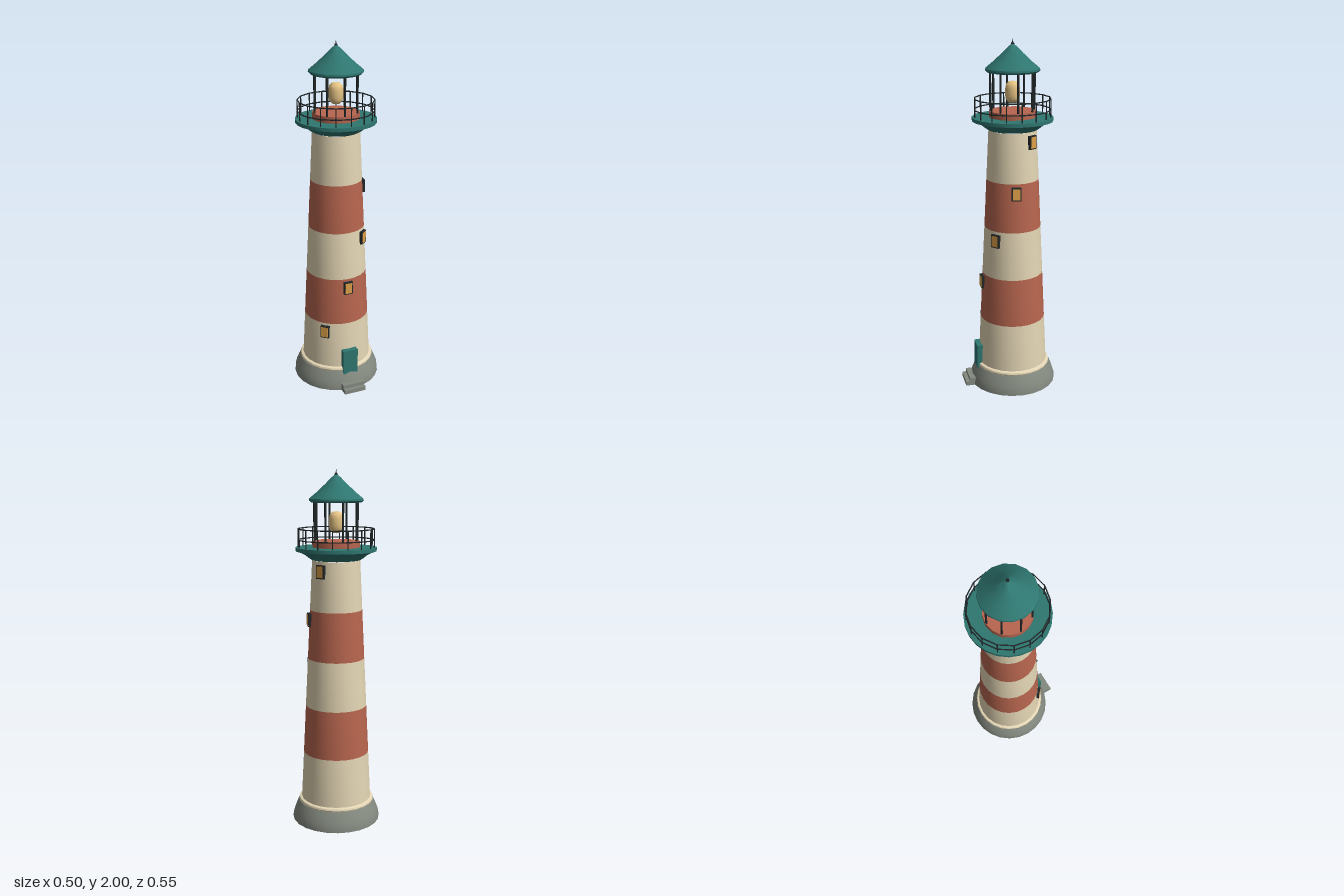
import * as THREE from 'three';
import { toCreasedNormals } from 'three/addons/utils/BufferGeometryUtils.js';

function mat(name, color) {
  const m = new THREE.MeshStandardMaterial({ color });
  m.name = name;
  return m;
}

export function createModel() {
  const stone = mat('grey stone', 0x848a80);
  const cream = mat('cream paint', 0xe4d6b5);
  const red = mat('brick red paint', 0xb8664f);
  const teal = mat('teal paint', 0x2f7670);
  const iron = mat('dark iron', 0x22282a);
  const amber = mat('amber glass', 0xdda048);
  const glow = mat('lamp glass', 0xecc988);

  const model = new THREE.Group();
  model.name = 'lighthouse';
  // everything round shares one axis, set slightly back to make room for the steps
  const tower = new THREE.Group();
  tower.name = 'tower';
  tower.position.z = -0.022;
  model.add(tower);

  function add(parent, name, geometry, material, x = 0, y = 0, z = 0) {
    const mesh = new THREE.Mesh(geometry, material);
    mesh.name = name;
    mesh.position.set(x, y, z);
    parent.add(mesh);
    return mesh;
  }
  function lathe(name, profile, material, sides = 24) {
    const points = profile.map(([r, y]) => new THREE.Vector2(r, y));
    return add(tower, name, toCreasedNormals(new THREE.LatheGeometry(points, sides), 0.6), material);
  }

  // flared footing and the moulding above it
  lathe('footing', [[0, 0], [0.252, 0], [0.25, 0.025], [0.243, 0.05], [0.231, 0.08], [0.217, 0.11], [0, 0.11]], stone);
  lathe('baseMoulding', [[0.19, 0.108], [0.214, 0.108], [0.217, 0.116], [0.214, 0.125], [0.204, 0.13], [0.19, 0.13]], cream);

  // tapering shaft in five bands
  const y0 = 0.13, y1 = 1.51, bands = 5;
  const radiusAt = (y) => THREE.MathUtils.mapLinear(y, y0, y1, 0.2, 0.133);
  for (let i = 0; i < bands; i++) {
    const a = y0 + ((y1 - y0) * i) / bands;
    const b = y0 + ((y1 - y0) * (i + 1)) / bands;
    lathe('shaftBand', [[radiusAt(a), a], [radiusAt(b), b]], i % 2 ? red : cream);
  }

  // windows climbing the shaft in a spiral
  for (let i = 0; i < 5; i++) {
    const y = 0.355 + i * 0.275;
    const pivot = new THREE.Group();
    pivot.name = 'window';
    pivot.rotation.y = THREE.MathUtils.degToRad(-42 + 42 * i);
    tower.add(pivot);
    const r = radiusAt(y);
    add(pivot, 'windowFrame', new THREE.BoxGeometry(0.052, 0.074, 0.026), iron, 0, y, r);
    add(pivot, 'windowPane', new THREE.BoxGeometry(0.04, 0.062, 0.006), amber, 0, y, r + 0.012);
  }

  // door and steps
  add(model, 'door', new THREE.BoxGeometry(0.09, 0.16, 0.05), teal, 0, 0.16, 0.175);
  add(model, 'upperStep', new THREE.BoxGeometry(0.131, 0.045, 0.035), stone, 0, 0.0225, 0.2325);
  add(model, 'lowerStep', new THREE.BoxGeometry(0.131, 0.024, 0.06), stone, 0, 0.012, 0.243);

  // gallery deck on its flared corbel
  lathe('gallery', [[0.125, 1.51], [0.137, 1.512], [0.152, 1.522], [0.172, 1.538], [0.197, 1.552],
    [0.224, 1.56], [0.224, 1.58], [0, 1.58]], teal);

  // gallery railing
  for (const y of [1.62, 1.68]) {
    add(tower, 'rail', new THREE.TorusGeometry(0.21, 0.0035, 6, 16).rotateX(Math.PI / 2), iron, 0, y, 0);
  }
  for (let i = 0; i < 16; i++) {
    const a = (i / 16) * Math.PI * 2;
    add(tower, 'railPost', new THREE.CylinderGeometry(0.0035, 0.0035, 0.1, 6), iron,
      0.21 * Math.sin(a), 1.63, 0.21 * Math.cos(a));
  }

  // lantern room
  lathe('lanternBase', [[0.13, 1.578], [0.13, 1.615], [0, 1.615]], red, 16);
  for (let i = 0; i < 8; i++) {
    const a = (i / 8) * Math.PI * 2;
    add(tower, 'lanternPost', new THREE.CylinderGeometry(0.006, 0.006, 0.23, 6), iron,
      0.124 * Math.sin(a), 1.72, 0.124 * Math.cos(a));
  }
  lathe('lamp', [[0, 1.655], [0.022, 1.659], [0.037, 1.675], [0.041, 1.695], [0.041, 1.735],
    [0.037, 1.756], [0.022, 1.771], [0, 1.775]], glow, 12);

  // roof with a slightly hollow slope, and its finial
  lathe('roof', [[0, 1.822], [0.138, 1.822], [0.15, 1.832], [0.149, 1.842], [0.105, 1.878],
    [0.06, 1.92], [0.025, 1.955], [0, 1.975]], teal, 16);
  add(tower, 'finialBall', new THREE.SphereGeometry(0.009, 10, 8), iron, 0, 1.971, 0);
  add(tower, 'finialSpike', new THREE.ConeGeometry(0.005, 0.03, 8), iron, 0, 1.985, 0);

  return model;
}
